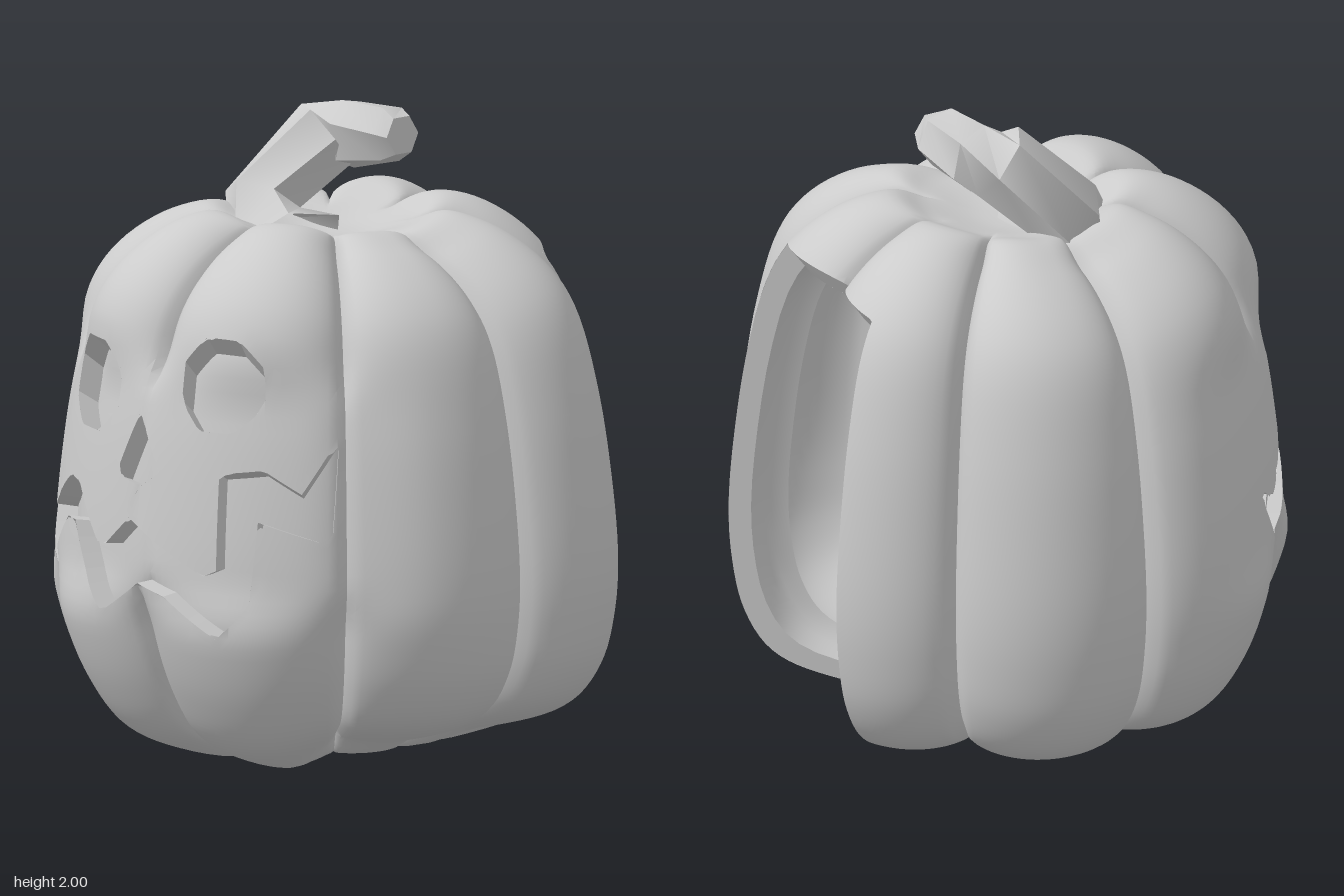
import * as THREE from 'three';
import { toCreasedNormals } from 'three/addons/utils/BufferGeometryUtils.js';

const mat = new THREE.MeshStandardMaterial({ color: 0xcccccc, side: THREE.DoubleSide });
const flatMat = new THREE.MeshStandardMaterial({ color: 0xcccccc, side: THREE.DoubleSide, flatShading: true });
const { smoothstep, lerp, clamp, degToRad } = THREE.MathUtils;

// Half profile through the fullest part of a rib, from bottom centre to top centre
const profile = new THREE.SplineCurve([
  [0, 0.09], [0.15, 0.06], [0.35, 0], [0.6, 0.05], [0.76, 0.13], [0.85, 0.27], [0.89, 0.45], [0.9, 0.65], [0.88, 0.9],
  [0.84, 1.17], [0.775, 1.42], [0.68, 1.57], [0.53, 1.68], [0.38, 1.72], [0.26, 1.67], [0.12, 1.63], [0, 1.62],
].map(([r, y]) => new THREE.Vector2(r, y)));

// Angles of the eight grooves, from +z towards +x; u = 0..8 counts the ribs between them
const grooves = [-87, -37, 3, 53, 98, 140, 182, 227, 273];
// How much each rib swells beyond the profile
const swell = [-0.01, 0, 0, -0.02, 0.04, 0, 0.02, 0.005];
const RIBS = 8, COLS = 24, ROWS = 84, INNER = 0.92, MID = 0.65;

const bump = (v, mid, half) => 1 - smoothstep(Math.abs(v - mid), half * 0.65, half * 1.15);

// Point on the skin; k shrinks it for the inner wall
function skin(u, t, k = 1) {
  const i = Math.min(RIBS - 1, Math.floor(u)), f = u - i;
  const a = degToRad(lerp(grooves[i], grooves[i + 1], f));
  const p = profile.getPoint(t), arch = Math.max(0, Math.sin(Math.PI * f));
  // grooves and other differences between ribs fade out near the top and bottom centre
  const fade = smoothstep(p.x, 0.2, 0.48);
  // the grooves also fade out across the carved face
  const dip = fade * lerp(1 - Math.pow(arch, 0.48), 0.3, 0.92 * bump(u, 1.75, 1.45) * bump(p.y, 0.95, 0.42));
  const front = Math.max(0, Math.cos(a));
  const tuck = front * (0.02 * (1 - smoothstep(p.y, 1.2, 1.55)) + 0.09 * (1 - smoothstep(p.y, 0.1, 0.6)));
  const r = k * p.x * (1 - 0.16 * dip) * (1 - tuck) * (1 + swell[i] * arch);
  // side ribs are lower on top, the left ones are raised below
  const squash = p.y > MID ? 0.05 * (1 - smoothstep(Math.abs(Math.cos(a)), 0.2, 0.8)) : 0.13 * smoothstep(Math.sin(a), 0.5, 0.95);
  const y = MID + (p.y - MID) * (1 - 0.09 * dip) * (1 - squash * fade) * k;
  return new THREE.Vector3(r * Math.sin(a), y, r * Math.cos(a));
}

function bisect(f, target, lo, hi) {
  for (let n = 0; n < 30; n++) {
    const m = (lo + hi) / 2;
    if (f(m) < target) lo = m; else hi = m;
  }
  return (lo + hi) / 2;
}
const heightToT = (u, y) => bisect(t => skin(u, t).y, y, 0.15, 0.78);

// Turns a front-facing x, y position into skin coordinates
function onFace([x, y]) {
  let u = 2, t = 0.5;
  for (let n = 0; n < 6; n++) {
    t = heightToT(u, y);
    u = bisect(v => skin(v, t).x, x, 0.2, 3.1);
  }
  return [u, t];
}

const octagon = (cx, cy, rx, ry) => Array.from({ length: 8 }, (_, i) => {
  const a = (i + 0.5) * Math.PI / 4;
  return [cx + rx * Math.cos(a), cy + ry * Math.sin(a)];
});

// Signed distance to the cut-outs in skin coordinates, negative inside one
const S = 10;
function distance(polys, u, t) {
  let best = 1e9, inside = false;
  for (const poly of polys) poly.forEach(([au, at], i) => {
    const [bu, bt] = poly[(i + 1) % poly.length];
    if ((at > t) !== (bt > t) && u < au + (bu - au) * (t - at) / (bt - at)) inside = !inside;
    const dx = bu - au, dy = (bt - at) * S, px = u - au, py = (t - at) * S;
    const h = clamp((px * dx + py * dy) / (dx * dx + dy * dy), 0, 1);
    best = Math.min(best, Math.hypot(px - h * dx, py - h * dy));
  });
  return inside ? -best : best;
}

const geometry = (points) => new THREE.BufferGeometry().setFromPoints(points);

// Ribbed wall with the cut-outs trimmed away
function shell(polys, k, flip) {
  const pts = [], grid = [];
  for (let i = 0; i <= RIBS * COLS; i++) {
    grid.push([]);
    for (let j = 0; j <= ROWS; j++) {
      const u = i / COLS, t = j / ROWS;
      grid[i].push({ u, t, d: distance(polys, u, t) });
    }
  }
  const trim = (tri) => {
    const out = [];
    tri.forEach((a, i) => {
      const b = tri[(i + 1) % 3];
      if (a.d >= 0) out.push(skin(a.u, a.t, k));
      if ((a.d >= 0) !== (b.d >= 0)) {
        const s = a.d / (a.d - b.d);
        out.push(skin(a.u + (b.u - a.u) * s, a.t + (b.t - a.t) * s, k));
      }
    });
    for (let n = 1; n + 1 < out.length; n++) {
      if (flip) pts.push(out[0], out[n + 1], out[n]);
      else pts.push(out[0], out[n], out[n + 1]);
    }
  };
  for (let i = 0; i < RIBS * COLS; i++) for (let j = 0; j < ROWS; j++) {
    const a = grid[i][j], b = grid[i + 1][j], c = grid[i + 1][j + 1], d = grid[i][j + 1];
    if (j > 0) trim([a, b, c]);
    if (j < ROWS - 1) trim([a, c, d]);
  }
  return toCreasedNormals(geometry(pts), 0.7);
}

// Cut edge joining the outer skin to the inner wall
function cutWall(poly, steps) {
  const pts = [];
  poly.forEach(([au, at], i) => {
    const [bu, bt] = poly[(i + 1) % poly.length];
    for (let n = 0; n < steps; n++) {
      const [p, q] = [n / steps, (n + 1) / steps].map(s => [au + (bu - au) * s, at + (bt - at) * s]);
      const a = skin(...p), b = skin(...q), c = skin(...q, INNER), d = skin(...p, INNER);
      pts.push(a, c, b, a, d, c);
    }
  });
  const g = geometry(pts);
  g.computeVertexNormals();
  return g;
}

// Bent stalk: six-sided rings along a path of [x, y, z, radius]
function stalk() {
  const path = [[-0.08, 1.57, 0.1, 0.2], [-0.22, 1.7, 0.07, 0.125], [-0.15, 1.89, -0.13, 0.125],
    [-0.1, 1.9, -0.175, 0.12], [0.06, 1.91, -0.21, 0.095], [0.115, 1.915, -0.21, 0.065]];
  const at = i => new THREE.Vector3(...path[clamp(i, 0, path.length - 1)].slice(0, 3));
  const rings = path.map((p, i) => {
    const dir = at(i + 1).sub(at(i - 1)).normalize();
    const q = new THREE.Quaternion().setFromUnitVectors(new THREE.Vector3(0, 1, 0), dir);
    return Array.from({ length: 6 }, (_, n) => {
      const a = n * Math.PI / 3;
      const v = new THREE.Vector3(Math.sin(a), 0, Math.cos(a)).multiplyScalar(p[3]).applyQuaternion(q).add(at(i));
      v.y = Math.min(v.y, 2);
      return v;
    });
  });
  const pts = [];
  for (let i = 0; i + 1 < rings.length; i++) for (let n = 0; n < 6; n++) {
    const m = (n + 1) % 6, [a, b] = [rings[i], rings[i + 1]];
    pts.push(a[n], a[m], b[m], a[n], b[m], b[n]);
  }
  const end = rings[rings.length - 1];
  for (let n = 1; n < 5; n++) pts.push(end[0], end[n], end[n + 1]);
  return toCreasedNormals(geometry(pts), 0.9);
}

export function createModel() {
  const group = new THREE.Group();
  const add = (name, geo, material = mat) => {
    const mesh = new THREE.Mesh(geo, material);
    mesh.name = name;
    group.add(mesh);
  };

  // Carved face
  const face = {
    rightEye: octagon(-0.235, 1.215, 0.155, 0.152),
    leftEye: octagon(0.307, 1.28, 0.142, 0.157),
    nose: [[0.015, 1.165], [0.125, 0.99], [0.05, 0.94], [-0.065, 0.958]],
    mouth: [[-0.66, 0.825], [-0.57, 0.76], [-0.34, 0.91], [-0.27, 0.9], [-0.135, 0.74], [-0.09, 0.74], [0.01, 0.835],
      [0.31, 0.69], [0.35, 0.71], [0.335, 1.01], [0.46, 1.03], [0.56, 0.96], [0.605, 1.13], [0.63, 0.8], [0.46, 0.87],
      [0.455, 0.6], [0.37, 0.5], [0.17, 0.61], [0.05, 0.635], [-0.1, 0.525], [-0.28, 0.78], [-0.34, 0.78], [-0.55, 0.58]],
  };
  const cuts = Object.entries(face).map(([name, poly]) => [name, poly.map(onFace)]);

  // Large opening at the back, reaching under the base
  const opening = [[5.21, 0.09], [6.49, 0.09], ...[[6.49, 1.53], [6, 1.5], [5.21, 1.53]].map(([u, y]) => [u, heightToT(u, y)])];

  add('outerSkin', shell([...cuts.map(c => c[1]), opening], 1, false));
  add('innerWall', shell([opening], INNER, true));
  cuts.forEach(([name, poly]) => add(name + 'Edge', cutWall(poly, 6), flatMat));
  add('backOpeningEdge', cutWall(opening, 24), flatMat);
  add('stem', stalk());
  return group;
}
